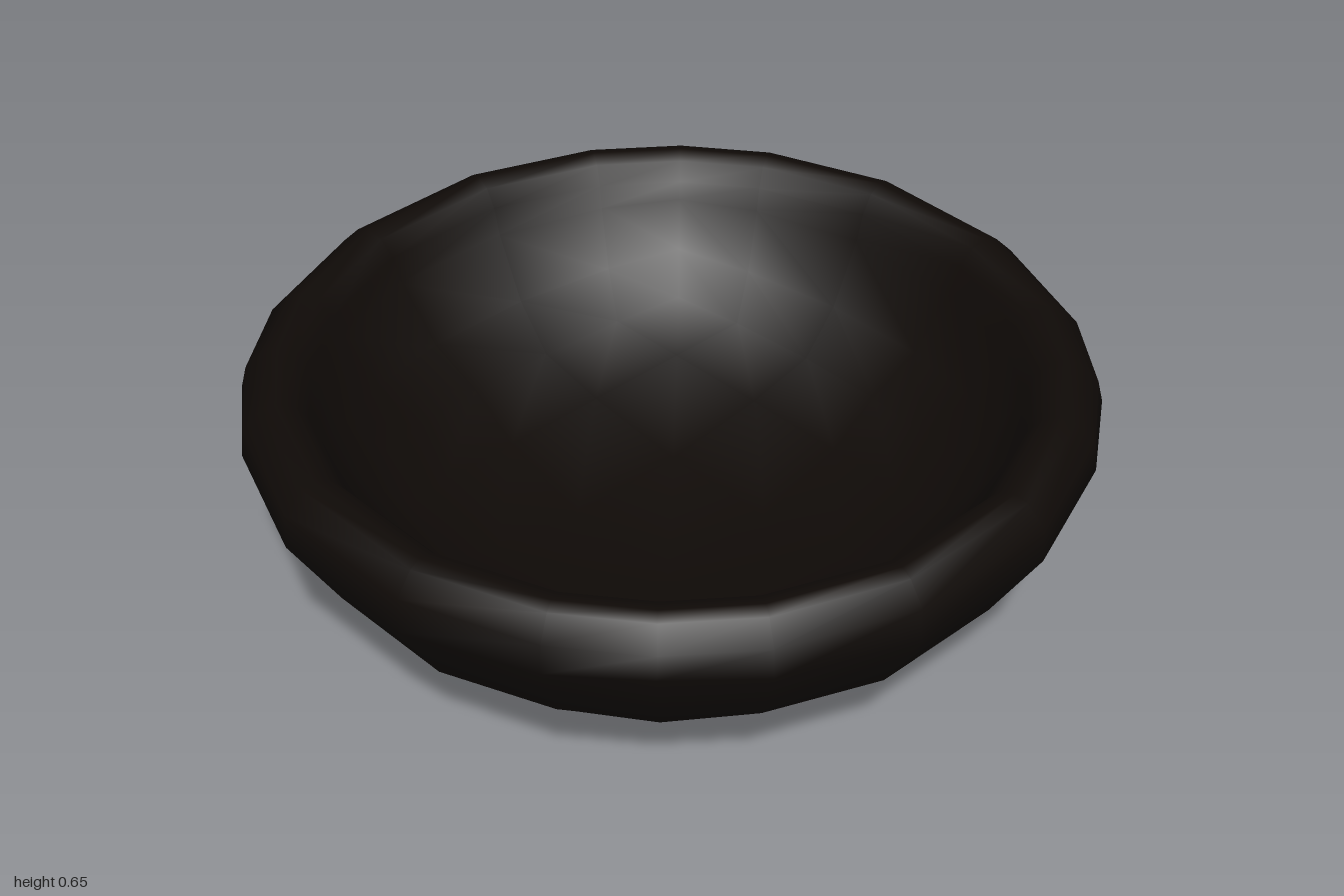
import * as THREE from 'three';
import { mergeVertices } from 'three/addons/utils/BufferGeometryUtils.js';

const SEG = 5; // grid cells per side of the rounded cube

// Put a point of the cube on a squashed sphere
const onShell = (p, radius, centreY, depth) => {
  const n = p.clone().normalize().multiplyScalar(1.045);
  return new THREE.Vector3(n.x * radius, centreY + n.y * depth, n.z * radius);
};
const outer = (p) => onShell(p, 0.997, 0.625, 0.622);
const inner = (p) => onShell(p, 0.815, 0.62, 0.458);

function bowlGeometry() {
  const out = [];
  const tri = (a, b, c) => out.push(...a.toArray(), ...b.toArray(), ...c.toArray());

  // Outer and inner shells: lower rows of a cube grid blown up to a sphere
  const box = new THREE.BoxGeometry(2, 2, 2, SEG, SEG, SEG).toNonIndexed();
  const pos = box.attributes.position;
  for (let i = 0; i < pos.count; i += 3) {
    const t = [0, 1, 2].map((k) => new THREE.Vector3().fromBufferAttribute(pos, i + k));
    if (t.some((p) => p.y > -0.1)) continue;
    tri(...t.map(outer));
    tri(...t.map(inner).reverse());
  }

  // Rounded lip joining the two shells: [radius, height]
  const lip = [[1.018, 0.59], [0.97, 0.64], [0.937, 0.65], [0.895, 0.638], [0.86, 0.595]];
  const count = SEG * 4;
  const edge = [];
  for (let i = 0; i < count; i++) {
    const p = new THREE.Vector3(1, -0.2, -1 + (2 * (i % SEG)) / SEG);
    edge.push(p.applyAxisAngle(new THREE.Vector3(0, 1, 0), (-Math.PI / 2) * Math.floor(i / SEG)));
  }
  const ring = ([r, y]) => edge.map((p) => {
    const l = Math.hypot(p.x, p.z);
    return new THREE.Vector3((p.x / l) * r, y, (p.z / l) * r);
  });
  const rings = [edge.map(outer), ...lip.map(ring), edge.map(inner)];
  for (let k = 0; k < rings.length - 1; k++) {
    for (let i = 0; i < count; i++) {
      const j = (i + 1) % count;
      const a = rings[k], b = rings[k + 1];
      tri(a[i], b[i], a[j]);
      tri(b[i], b[j], a[j]);
    }
  }

  const soup = new THREE.BufferGeometry();
  soup.setAttribute('position', new THREE.Float32BufferAttribute(out, 3));
  const geometry = mergeVertices(soup, 1e-4);
  geometry.computeVertexNormals();
  return geometry;
}

export function createModel() {
  const group = new THREE.Group();
  group.name = 'bowlModel';
  const bowl = new THREE.Mesh(bowlGeometry(), new THREE.MeshStandardMaterial({ color: 0x0f0a07 }));
  bowl.name = 'bowl';
  group.add(bowl);
  return group;
}
